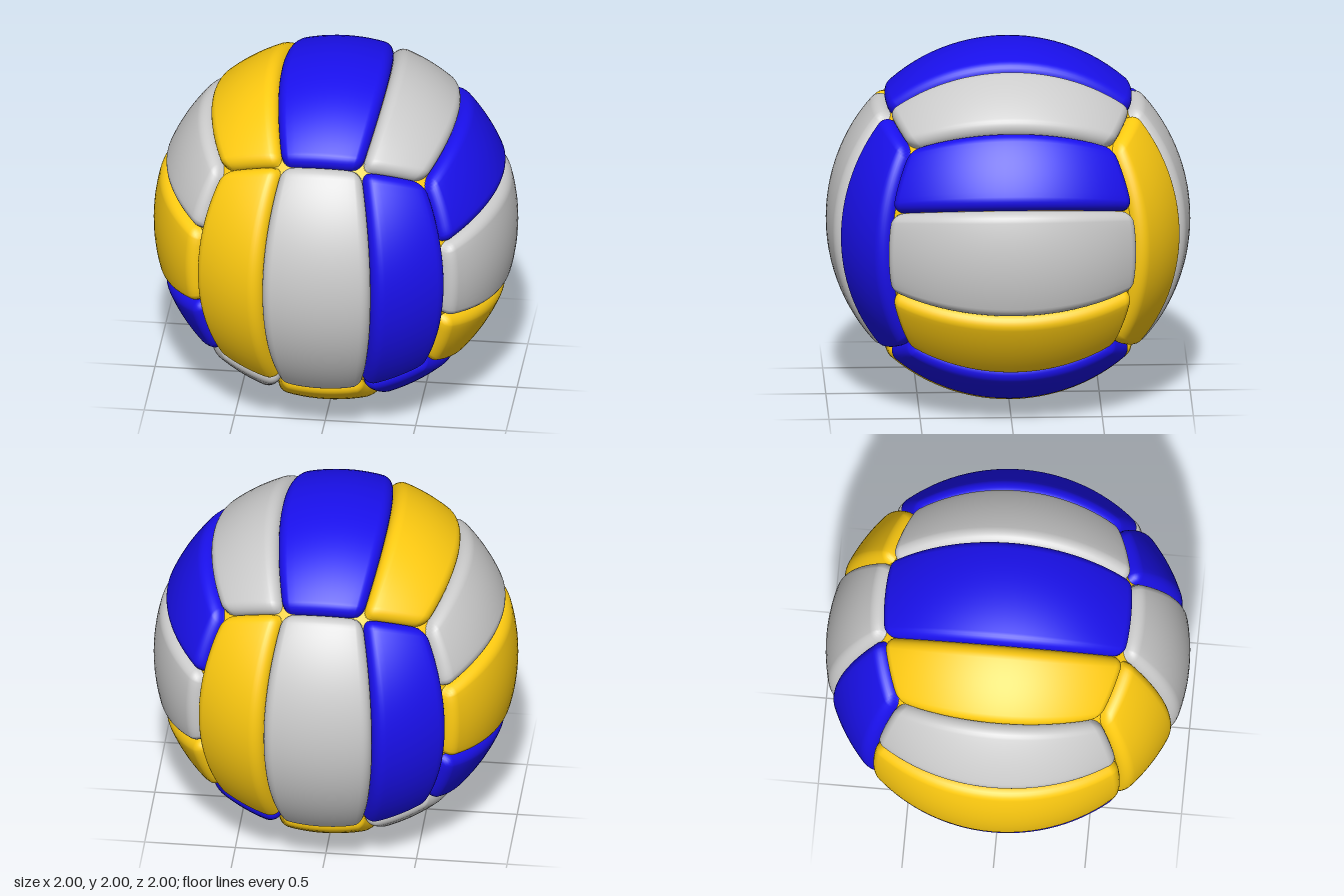
import * as THREE from 'three';

const GREY = 0xcccccc, YELLOW = 0xffcc11, BLUE = 0x1a10ee;
const EDGE = 0.07;      // radius of the rounded panel edges and corners
const EDGE_STEPS = 8;

// Each side of the ball: outward normal, axis its three strips are split along, strip colours
const SIDES = [
  ['front', [0, 0, 1], [1, 0, 0], [YELLOW, GREY, BLUE]],
  ['back', [0, 0, -1], [1, 0, 0], [BLUE, GREY, YELLOW]],
  ['top', [0, 1, 0], [1, 0, 0], [YELLOW, BLUE, GREY]],
  ['bottom', [0, -1, 0], [1, 0, 0], [GREY, YELLOW, BLUE]],
  ['left', [1, 0, 0], [0, 1, 0], [YELLOW, GREY, BLUE]],
  ['right', [-1, 0, 0], [0, 1, 0], [BLUE, YELLOW, GREY]],
];

// Tangents of angles between two edges, closely spaced where the edge curves
function samples(t0, t1, inner) {
  const a0 = Math.atan(t0), a1 = Math.atan(t1), angles = [];
  const bend = (i) => EDGE * 1.05 * (1 - Math.cos((i / EDGE_STEPS) * Math.PI / 2));
  for (let i = 0; i < EDGE_STEPS; i++) angles.push(a0 + bend(i));
  const s = a0 + bend(EDGE_STEPS), e = a1 - bend(EDGE_STEPS);
  for (let i = 0; i <= inner; i++) angles.push(s + (e - s) * i / inner);
  for (let i = EDGE_STEPS - 1; i >= 0; i--) angles.push(a1 - bend(i));
  return angles.map(Math.tan);
}

// Distance on the unit sphere from a point to the nearer of two bounding planes
const edgeDistance = (p, q, t0, t1) => Math.max(0, Math.min(
  (p - t0 * q) / Math.hypot(1, t0), (t1 * q - p) / Math.hypot(1, t1)));

// One padded strip of a cube side projected onto the sphere
function panelGeometry(n, u, t0, t1) {
  const v = new THREE.Vector3().crossVectors(n, u);
  const as = samples(t0, t1, 10), bs = samples(-1, 1, 26);
  const positions = [], indices = [], p = new THREE.Vector3();
  for (const b of bs) {
    for (const a of as) {
      const k = 1 / Math.hypot(a, b, 1);
      const da = edgeDistance(a * k, k, t0, t1), db = edgeDistance(b * k, k, -1, 1);
      const d = da < EDGE && db < EDGE
        ? Math.max(0, EDGE - Math.hypot(EDGE - da, EDGE - db))
        : Math.min(da, db, EDGE);
      const r = 1 - EDGE + Math.sqrt(Math.max(0, EDGE ** 2 - (EDGE - d) ** 2));
      p.copy(n).addScaledVector(u, a).addScaledVector(v, b).multiplyScalar(k * r);
      positions.push(p.x, p.y, p.z);
    }
  }
  const w = as.length;
  for (let j = 0; j < bs.length - 1; j++) {
    for (let i = 0; i < w - 1; i++) {
      const c = j * w + i;
      indices.push(c, c + 1, c + w + 1, c, c + w + 1, c + w);
    }
  }
  const geometry = new THREE.BufferGeometry();
  geometry.setAttribute('position', new THREE.Float32BufferAttribute(positions, 3));
  geometry.setIndex(indices);
  geometry.computeVertexNormals();
  return geometry;
}

export function createModel() {
  const ball = new THREE.Group();
  ball.name = 'ball';
  ball.position.y = 1;
  const materials = {};
  for (const color of [GREY, YELLOW, BLUE]) materials[color] = new THREE.MeshStandardMaterial({ color });

  // Padded panels, three per side
  for (const [name, n, u, colors] of SIDES) {
    const side = new THREE.Group();
    side.name = name + 'Panels';
    colors.forEach((color, i) => {
      const t0 = -1 + i * 2 / 3;
      const geometry = panelGeometry(new THREE.Vector3(...n), new THREE.Vector3(...u), t0, t0 + 2 / 3);
      const panel = new THREE.Mesh(geometry, materials[color]);
      panel.name = `${name}Panel${i + 1}`;
      side.add(panel);
    });
    ball.add(side);
  }

  // Inner bladder, glimpsed where panel corners meet
  const bladder = new THREE.Mesh(new THREE.SphereGeometry(0.935, 64, 40), materials[YELLOW]);
  bladder.name = 'bladder';
  ball.add(bladder);

  const model = new THREE.Group();
  model.name = 'volleyball';
  model.add(ball);
  return model;
}
